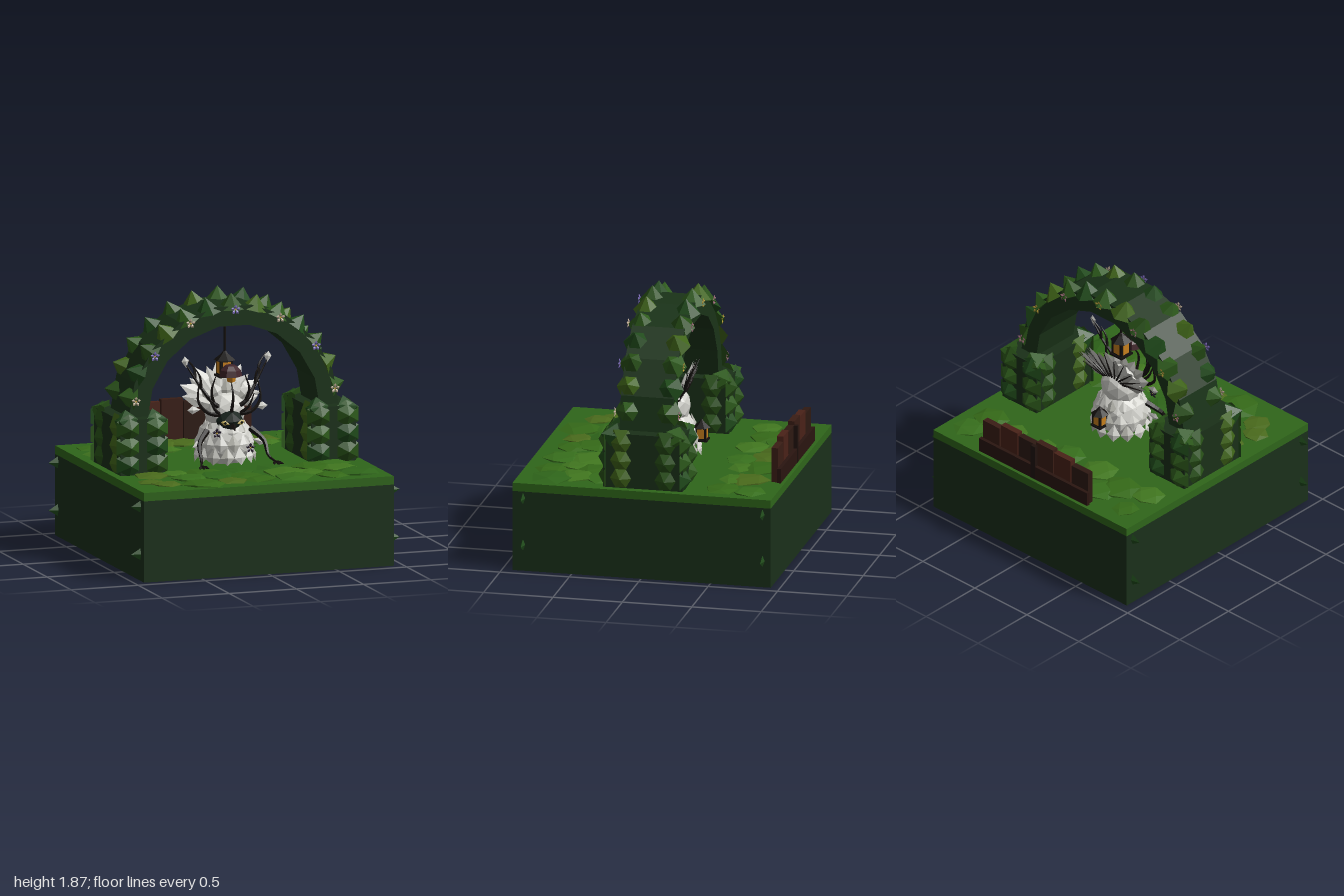
import * as THREE from 'three';

const UP = new THREE.Vector3(0, 1, 0);
const V = (x, y, z) => new THREE.Vector3(x, y, z);
const GREENS = [0x2d5a1b, 0x1f4a1a, 0x274f16, 0x3f6418];
const BLACK = 0x14100e, WHITE = 0xd2d2cc, AMBER = 0xc8801e;

let seed = 7;
const rnd = () => (seed = (seed * 16807) % 2147483647) / 2147483647;

function add(parent, name, geo, color, pos = [0, 0, 0], scale = [1, 1, 1]) {
  const mat = new THREE.MeshStandardMaterial({ color, flatShading: true });
  const mesh = new THREE.Mesh(geo, mat);
  mesh.name = name;
  mesh.position.set(...pos);
  mesh.scale.set(...scale);
  parent.add(mesh);
  return mesh;
}

function sub(parent, name, pos = [0, 0, 0]) {
  const g = new THREE.Group();
  g.name = name;
  g.position.set(...pos);
  parent.add(g);
  return g;
}

const box = (p, name, color, x0, x1, y0, y1, z0, z1) =>
  add(p, name, new THREE.BoxGeometry(x1 - x0, y1 - y0, z1 - z0), color, [(x0 + x1) / 2, (y0 + y1) / 2, (z0 + z1) / 2]);

// Leafy cone standing at pos and pointing along dir
function tuft(p, name, pos, dir, r, h, color, sides = 5) {
  const geo = new THREE.ConeGeometry(r, h, sides).translate(0, h / 2, 0);
  const m = add(p, name, geo, color, pos);
  m.quaternion.setFromUnitVectors(UP, V(...dir).normalize());
  return m;
}

// Flat pointed leaf or feather from pos along dir, its face turned towards facing
function leaf(p, name, pos, dir, facing, len, w, color, thick = 0.012) {
  const geo = new THREE.OctahedronGeometry(1).scale(w / 2, len / 2, thick).translate(0, len / 2, 0);
  const a = geo.attributes.position;
  for (let i = 0; i < a.count; i++) if (Math.abs(a.getY(i) - len / 2) < 1e-4) a.setY(i, len * 0.6);
  const y = V(...dir).normalize(), x = y.clone().cross(V(...facing)).normalize();
  const m = add(p, name, geo, color, pos);
  m.quaternion.setFromRotationMatrix(new THREE.Matrix4().makeBasis(x, y, x.clone().cross(y)));
  return m;
}

function branch(p, name, pts, r, color = BLACK) {
  const curve = new THREE.CatmullRomCurve3(pts.map(q => V(...q)));
  const geo = new THREE.TubeGeometry(curve, 10, r, 5, false), a = geo.attributes.position;
  for (let i = 0; i <= 10; i++) {
    const c = curve.getPointAt(i / 10);
    for (let j = 0; j < 6; j++) {
      const k = i * 6 + j, v = V(0, 0, 0).fromBufferAttribute(a, k).lerp(c, 0.75 * i / 10);
      a.setXYZ(k, v.x, v.y, v.z);
    }
  }
  return add(p, name, geo, color);
}

// Square lantern standing on its origin, unit body width
function lantern(p, name, pos, s) {
  const g = sub(p, name, pos);
  g.scale.setScalar(s);
  box(g, 'lanternBody', BLACK, -0.45, 0.45, 0, 1.1, -0.45, 0.45);
  box(g, 'lanternFoot', BLACK, -0.55, 0.55, -0.06, 0.08, -0.55, 0.55);
  for (const [x, z] of [[0.28, 0.47], [0.47, 0.28]])
    box(g, 'lanternGlass', AMBER, -x, x, 0.18, 0.98, -z, z);
  add(g, 'lanternRoof', new THREE.CylinderGeometry(0.2, 0.75, 0.45, 6), BLACK, [0, 1.3, 0]);
  add(g, 'lanternCap', new THREE.ConeGeometry(0.25, 0.3, 6), BLACK, [0, 1.65, 0]);
}

function flower(p, pos, dir, color) {
  const g = sub(p, 'flower', pos);
  for (let i = 0; i < 5; i++) {
    const a = i * Math.PI * 0.4 + 0.3;
    leaf(g, 'petal', [0, 0, 0], [Math.cos(a), Math.sin(a), 0.25], [0, 0, 1], 0.038, 0.024, color, 0.005);
  }
  add(g, 'flowerHeart', new THREE.OctahedronGeometry(0.008), 0xc9a030, [0, 0, 0.006]);
  g.quaternion.setFromUnitVectors(V(0, 0, 1), V(...dir));
}

function buildGround(root) {
  const g = sub(root, 'ground');
  box(g, 'earthBlock', 0x1a301a, -0.93, 0.93, 0, 0.58, -0.935, 0.925);
  box(g, 'lawn', 0x2f661a, -0.93, 0.93, 0.58, 0.64, -0.935, 0.925);
  // Low grass mounds in front and behind
  const tones = [0x2f661a, 0x376f1c, 0x41771f, 0x4a6b1c, 0x356a18];
  for (const z of [-0.72, -0.56, 0.36, 0.55, 0.72]) for (let i = 0; i < 7; i++) {
    const r = 0.1 + rnd() * 0.08;
    const m = add(g, 'grassMound', new THREE.IcosahedronGeometry(r, 0), tones[Math.floor(rnd() * 5)],
      [-0.72 + i * 0.24 + (rnd() - 0.5) * 0.12, 0.64, z + (rnd() - 0.5) * 0.1], [1, 0.15, 1]);
    m.rotation.y = rnd() * 6;
  }
  // Side sprigs near the corners
  for (const s of [-1, 1]) for (const z of [-0.875, 0.85]) for (const y of [0.19, 0.53])
    tuft(g, 'cornerSprig', [s * 0.925, y, z], [s, 0, 0], 0.045, 0.075, GREENS[1], 4).scale.z = 0.4;
}

function buildHedge(root, s) {
  const g = sub(root, 'hedge', [s * 0.71, 0, 0]);
  box(g, 'hedgeCore', 0x1a3018, -0.165, 0.165, 0.63, 1.035, -0.285, 0.285);
  let n = 0;
  for (const y of [0.71, 0.84, 0.97]) for (const d of [-1, 1]) {
    for (const x of [-0.1, 0.1])
      tuft(g, 'hedgeLeaf', [x, y, d * 0.27], [0, 0, d], 0.105, 0.065, GREENS[n++ % 3], 6);
    for (const z of [-0.16, 0.16])
      tuft(g, 'hedgeLeaf', [d * 0.15, y, z], [d, 0, 0], 0.105, 0.055, GREENS[n++ % 4], 6);
  }
  for (const x of [-1, 1]) for (const z of [-1, 1])
    tuft(g, 'hedgeTopLeaf', [x * 0.11, 1.0, z * 0.23], [x, 0.45, z], 0.1, 0.1, GREENS[n++ % 2], 5);
}

function buildArch(root) {
  const g = sub(root, 'arch', [0, 1.007, 0]);
  const pts = [];
  const ring = (r, a) => new THREE.Vector2(r * Math.sin(a * Math.PI / 180), r * Math.cos(a * Math.PI / 180));
  for (let a = -90; a <= 90; a += 20) pts.push(ring(0.785, a));
  for (let a = 90; a >= -90; a -= 20) pts.push(ring(0.643, a));
  const geo = new THREE.ExtrudeGeometry(new THREE.Shape(pts), { depth: 0.38, bevelEnabled: false });
  add(g, 'archBand', geo.translate(0, 0, -0.19), 0x1a3318);
  // Two rows of leaf tufts along the outside
  for (let i = -6; i <= 6; i++) for (const z of [-0.15, 0.135]) {
    const d = ring(1, i * 13);
    tuft(g, 'archLeaf', [d.x * 0.745, d.y * 0.745, z], [d.x, d.y, 0], 0.1, 0.115, GREENS[(i + 6 + (z > 0 ? 0 : 2)) % 4], 6);
  }
  for (let i = -3; i <= 3; i++) for (const s of [-1, 1]) {
    const d = ring(0.755, i * 26.3);
    const c = s > 0 ? [0x7a68b8, 0xb8a690] : [0xb89a3a, 0xb07888];
    flower(g, [d.x, d.y, s * 0.225], [0, 0, s], c[Math.abs(i) % 2]);
  }
}

function buildFence(root) {
  const g = sub(root, 'fence');
  const tops = [0.89, 0.92, 0.935, 0.91, 0.925, 0.89];
  tops.forEach((t, i) => {
    const x = -0.432 + i * 0.17;
    box(g, 'fencePlank', [0x2e1912, 0x4a2218, 0x3a1d15][i % 3], x - 0.08, x + 0.08, 0.63, t, -0.885, -0.838);
  });
  box(g, 'fenceRail', 0x2a1510, -0.525, 0.515, 0.64, 0.745, -0.91, -0.883);
  box(g, 'fencePost', 0x20120e, -0.025, 0.015, 0.63, 0.91, -0.912, -0.884);
}

function buildCreature(root) {
  const g = sub(root, 'creature');
  add(g, 'body', new THREE.IcosahedronGeometry(1, 1), WHITE, [0, 0.79, 0], [0.205, 0.19, 0.19]);
  add(g, 'head', new THREE.IcosahedronGeometry(1, 1), WHITE, [0, 1.0, 0], [0.15, 0.15, 0.14]);
  // Rings of overlapping body feathers
  for (const [y, r, n] of [[0.94, 0.15, 11], [0.86, 0.19, 13], [0.77, 0.2, 13]])
    for (let i = 0; i < n; i++) {
      const a = (i + y * 50) * 2 * Math.PI / n, x = Math.sin(a), z = Math.cos(a);
      leaf(g, 'bodyFeather', [x * r * 0.92, y, z * r * 0.92], [x * 0.25, -1, z * 0.25], [x, 0.2, z], 0.13, 0.1,
        i % 3 ? WHITE : 0xb4b4ac, 0.02);
    }
  // Dark face with slanted eyes and a beak
  add(g, 'face', new THREE.OctahedronGeometry(1, 1), 0x14201a, [0, 0.95, 0.1], [0.1, 0.09, 0.085]);
  tuft(g, 'beak', [0, 0.92, 0.17], [0, -0.5, 1], 0.025, 0.06, BLACK, 4);
  // Raised fan of feathers with dark ribs on its back
  for (let i = 0; i < 11; i++) {
    const a = (i - 5) * 0.29, dir = [Math.sin(a), Math.cos(a) * 0.9 + 0.1, -0.35 * Math.cos(a)];
    const len = 0.27 + (i % 2) * 0.035, pos = [dir[0] * 0.03, 1.05, -0.06];
    leaf(g, 'fanFeather', pos, dir, [0, 0.3, 1], len, 0.125, i % 2 ? WHITE : 0xa8a8a2);
    branch(g, 'fanRib', [0.1, 0.55, 0.95].map(t => pos.map((q, k) => q + dir[k] * len * t - (k === 2 ? 0.018 : 0))), 0.009);
  }
  for (let i = 0; i < 7; i++) {
    const a = (i - 3) * 0.42;
    leaf(g, 'crestFeather', [Math.sin(a) * 0.06, 1.04, 0.03], [Math.sin(a), Math.cos(a), 0], [0, 0, 1], 0.19, 0.1, i % 2 ? 0xb4b4ac : WHITE, 0.02);
  }
  for (const s of [-1, 1]) {
    const m = pts => pts.map(([x, y, z]) => [s * x, y, z]);
    leaf(g, 'eye', [s * 0.025, 0.935, 0.188], [s, 0.3, -0.25], [0, 0, 1], 0.07, 0.036, 0xc0a850, 0.008);
    add(g, 'pupil', new THREE.OctahedronGeometry(0.012), 0x101410, [s * 0.062, 0.946, 0.188]);
    // Antlers with side tines and pale leaf tips
    branch(g, 'antler', m([[0.04, 1.02, 0.08], [0.13, 1.09, 0.1], [0.22, 1.22, 0.06], [0.3, 1.35, 0.04]]), 0.02);
    branch(g, 'antlerTine', m([[0.12, 1.08, 0.1], [0.14, 1.17, 0.12], [0.11, 1.27, 0.12]]), 0.014);
    branch(g, 'antlerTine', m([[0.2, 1.19, 0.07], [0.21, 1.27, 0.07], [0.25, 1.34, 0.06]]), 0.012);
    branch(g, 'antlerTine', m([[0.24, 1.25, 0.05], [0.24, 1.32, 0.04], [0.3, 1.4, 0.02]]), 0.012);
    branch(g, 'lowerAntler', m([[0.05, 0.99, 0.1], [0.16, 1.01, 0.12], [0.23, 1.09, 0.1], [0.22, 1.22, 0.08]]), 0.018);
    branch(g, 'lowerTine', m([[0.08, 1.0, 0.11], [0.13, 1.05, 0.14], [0.17, 1.14, 0.14]]), 0.014);
    leaf(g, 'antlerLeaf', [s * 0.3, 1.33, 0.04], [s * 0.15, 1, 0], [0, 0, 1], 0.085, 0.055, WHITE);
    leaf(g, 'cheekLeaf', [s * 0.2, 1.03, 0.06], [s, 0, 0], [0, 0, 1], 0.1, 0.06, WHITE);
    leaf(g, 'hipLeaf', [s * 0.18, 0.8, 0.08], [s, -0.3, 0.2], [0, 0, 1], 0.1, 0.06, WHITE);
    // Thin arms reaching forward to the ground, with claws
    branch(g, 'arm', m([[0.16, 0.88, 0.08], [0.24, 0.8, 0.15], [0.25, 0.7, 0.22], [0.28, 0.67, 0.3]]), 0.024);
    for (const d of [-0.3, 0.1, 0.5])
      leaf(g, 'claw', [s * 0.27, 0.675, 0.275], [s * d, -0.1, 1], [0, 1, 0], 0.1, 0.025, BLACK);
    flower(g, [s * 0.125, 0.82 - s * 0.06, 0.185], [0, 0, 1], 0x241a2c);
  }
  // Drooping lure blossom on a stalk above the brow
  branch(g, 'lureStalk', [[0, 1.0, 0.14], [0, 1.14, 0.18], [0, 1.24, 0.13]], 0.014);
  add(g, 'lureCap', new THREE.SphereGeometry(0.085, 7, 3, 0, Math.PI * 2, 0, Math.PI / 2), 0x40242a, [0, 1.27, 0.12]).material.side = THREE.DoubleSide;
  add(g, 'lureGlow', new THREE.CylinderGeometry(0.045, 0.03, 0.07, 5), AMBER, [0, 1.265, 0.13]);
  lantern(g, 'backLantern', [0, 0.76, -0.22], 0.085);
}

export function createModel() {
  const root = new THREE.Group();
  root.name = 'hedgeGarden';
  buildGround(root);
  for (const s of [-1, 1]) buildHedge(root, s);
  buildArch(root);
  buildFence(root);
  buildCreature(root);
  // Lantern hung from the crown of the arch
  add(root, 'lanternRod', new THREE.CylinderGeometry(0.009, 0.009, 0.24, 6), BLACK, [0, 1.53, 0]);
  lantern(root, 'hangingLantern', [0, 1.25, 0], 0.105);
  return root;
}
